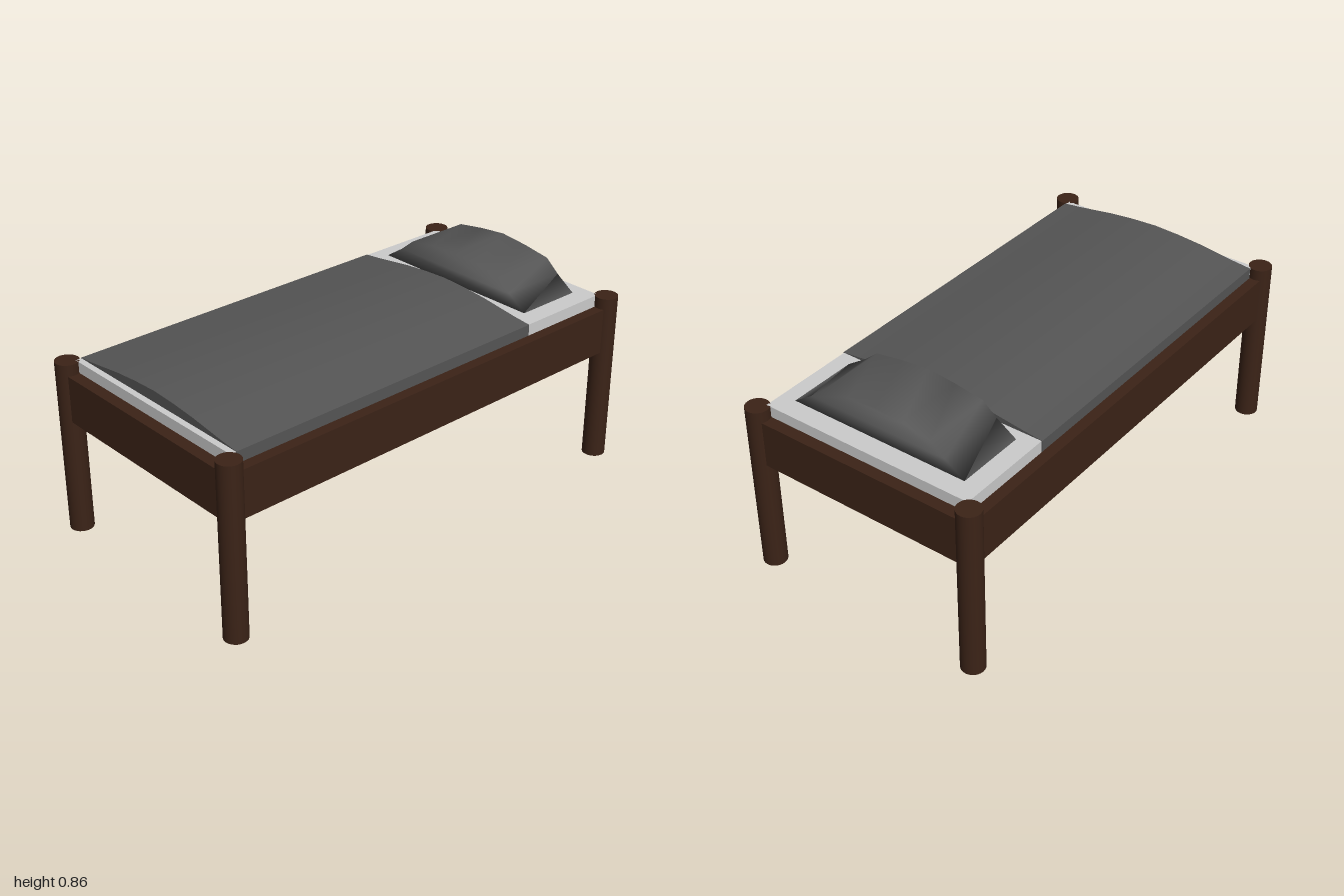
import * as THREE from 'three';
import { mergeVertices } from 'three/addons/utils/BufferGeometryUtils.js';

const wood = new THREE.MeshStandardMaterial({ color: 0x3b2317 });
const sheet = new THREE.MeshStandardMaterial({ color: 0xcccccc });
const cloth = new THREE.MeshStandardMaterial({ color: 0x555555 });

function add(group, name, geometry, material, x = 0, y = 0, z = 0) {
  const mesh = new THREE.Mesh(geometry, material);
  mesh.name = name;
  mesh.position.set(x, y, z);
  group.add(mesh);
  return mesh;
}

// Mirrors a half outline (outer edge to centre) and extrudes it along z
function archedSolid(half, depth) {
  const mirrored = half.slice(0, -1).reverse().map(([x, y]) => [-x, y]);
  const points = [...half, ...mirrored].map(([x, y]) => new THREE.Vector2(x, y));
  return new THREE.ExtrudeGeometry(new THREE.Shape(points), { depth, bevelEnabled: false });
}

// Shares vertices between faces so the shading rolls softly over the edges
function softened(geometry) {
  geometry.deleteAttribute('uv');
  geometry.deleteAttribute('normal');
  const merged = mergeVertices(geometry);
  merged.computeVertexNormals();
  return merged;
}

export function createModel() {
  const bed = new THREE.Group();
  bed.name = 'bed';

  // Round corner posts
  for (const sx of [-1, 1]) {
    for (const sz of [-1, 1]) {
      const name = (sz > 0 ? 'front' : 'back') + (sx > 0 ? 'Left' : 'Right') + 'Leg';
      add(bed, name, new THREE.CylinderGeometry(0.047, 0.047, 0.715, 24), wood,
        sx * 0.477, 0.3575, sz * 0.953);
    }
  }

  // Frame rails between the posts
  for (const s of [-1, 1]) {
    add(bed, s > 0 ? 'leftRail' : 'rightRail',
      new THREE.BoxGeometry(0.044, 0.19, 1.9), wood, s * 0.479, 0.575, 0);
    add(bed, s > 0 ? 'footRail' : 'headRail',
      new THREE.BoxGeometry(0.95, 0.19, 0.048), wood, 0, 0.575, s * 0.954);
  }

  // Mattress sunk into the frame
  add(bed, 'mattress', new THREE.BoxGeometry(0.908, 0.195, 1.86), sheet, 0, 0.6175, 0);

  // Blanket, arched in the middle and tucked down at the sides
  const blanketHalf = [
    [0.457, 0.62], [0.457, 0.716], [0.38, 0.724], [0.22, 0.746], [0.11, 0.756], [0, 0.761],
  ];
  add(bed, 'blanket', archedSolid(blanketHalf, 1.425), cloth, 0, 0, -0.52);

  // Pillow with a raised crown
  const pillowHalf = [
    [0.383, 0.722], [0.3, 0.777], [0.24, 0.827], [0.12, 0.846], [0, 0.858],
  ];
  add(bed, 'pillow', softened(archedSolid(pillowHalf, 0.285)), cloth, 0, 0, -0.857);

  return bed;
}
